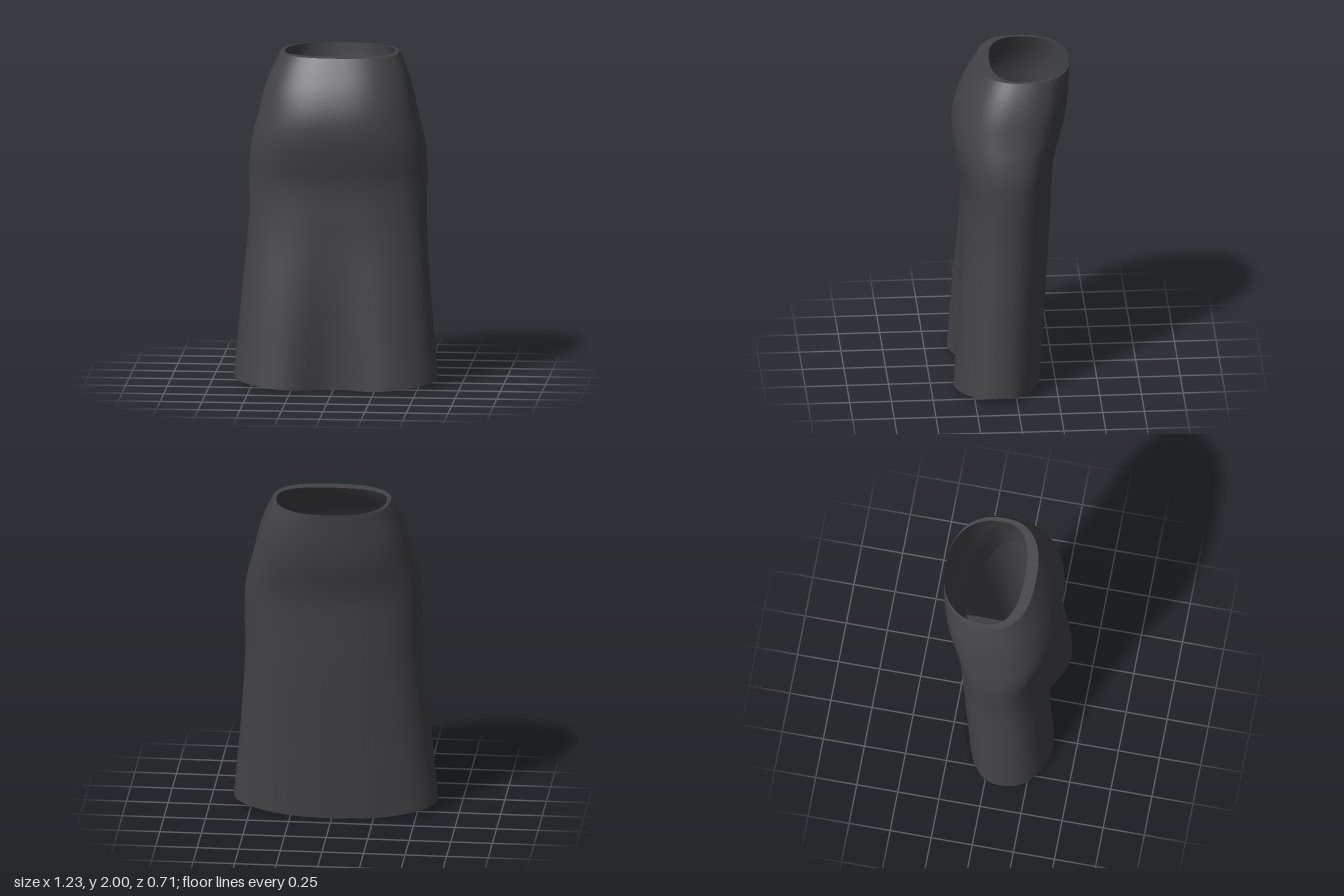
import * as THREE from 'three';

// Skirt profile by height: [y, half width, centre x, front z, back z, side-seam z, front pleat depth]
const PROFILE = [
  [0.00, 0.613, 0.000, 0.392, -0.170, 0.090, 0.130],
  [0.50, 0.572, 0.000, 0.350, -0.200, 0.080, 0.060],
  [1.00, 0.534, 0.006, 0.305, -0.230, 0.045, 0.010],
  [1.25, 0.534, 0.007, 0.302, -0.240, 0.025, 0],
  [1.40, 0.530, 0.007, 0.332, -0.250, 0.010, 0],
  [1.52, 0.510, 0.006, 0.350, -0.277, 0.000, 0],
  [1.65, 0.476, 0.006, 0.346, -0.315, -0.015, 0],
  [1.80, 0.440, 0.007, 0.303, -0.338, -0.035, 0],
  [1.90, 0.403, 0.010, 0.255, -0.345, -0.048, 0],
  [2.00, 0.356, 0.010, 0.200, -0.350, -0.060, 0],
];
const HEM_LIFT = 0.045;
const CROTCH_Y = 1.2;
const SEGMENTS = 72;

const profile = new THREE.CubicInterpolant(
  PROFILE.map((row) => row[0]), PROFILE.flatMap((row) => row.slice(1)), 6);

const superPower = (value, n) => Math.sign(value) * Math.abs(value) ** (2 / n);

// Point of the body outline at height y and angle a (0 = left side, PI/2 = front)
function outline(y, a, scale = 1, waist = 0) {
  let [half, cx, front, back, seam, pleat] = profile.evaluate(y);
  front -= 0.07 * waist;
  half -= 0.025 * waist;
  const c = Math.cos(a), s = Math.sin(a);
  const n = s > 0 ? 2.5 : 2.3;
  const x = half * superPower(c, n);
  let z = seam + (s > 0 ? front - seam : seam - back) * superPower(s, n);
  if (s > 0) z -= pleat * Math.exp(-((x / 0.18) ** 2));
  return new THREE.Vector3(cx + x * scale, y, seam + (z - seam) * scale);
}

// Skin a closed tube through rings; point(v, u) with v and u in 0..1
function loft(rows, point) {
  const positions = [], indices = [];
  for (let j = 0; j <= rows; j++) {
    for (let i = 0; i < SEGMENTS; i++) positions.push(...point(j / rows, i / SEGMENTS).toArray());
  }
  for (let j = 0; j < rows; j++) {
    for (let i = 0; i < SEGMENTS; i++) {
      const a = j * SEGMENTS + i, b = j * SEGMENTS + (i + 1) % SEGMENTS;
      indices.push(a, a + SEGMENTS, b, b, a + SEGMENTS, b + SEGMENTS);
    }
  }
  const geometry = new THREE.BufferGeometry();
  geometry.setAttribute('position', new THREE.Float32BufferAttribute(positions, 3));
  geometry.setIndex(indices);
  geometry.computeVertexNormals();
  return geometry;
}

// The lining narrows to the waist rim at the top
const waistAmount = (y) => THREE.MathUtils.smoothstep(y, 1.7, 2);
const liningScale = (y) => THREE.MathUtils.lerp(0.965, 1, waistAmount(y));

function liningPoint(y, a) {
  return outline(y, a, liningScale(y), waistAmount(y));
}

// Leg ring: a half body outline at the crotch, easing to an oval at the cuff
function legPoint(side, v, u) {
  const y = CROTCH_Y * v;
  const a = Math.PI / 2 - side * u * Math.PI * 2;
  const cuff = new THREE.Vector3(side * 0.277 + 0.135 * Math.cos(a), y, 0.14 + 0.168 * Math.sin(a));
  const upper = new THREE.Vector3();
  if (u <= 0.5) {
    upper.copy(liningPoint(CROTCH_Y, Math.PI / 2 - side * u * Math.PI * 2));
  } else {
    const back = liningPoint(CROTCH_Y, -Math.PI / 2);
    const front = liningPoint(CROTCH_Y, Math.PI / 2);
    upper.lerpVectors(back, front, (u - 0.5) * 2);
  }
  upper.y = y;
  return cuff.lerp(upper, v ** 1.4);
}

export function createModel() {
  const model = new THREE.Group();
  model.name = 'skirt';
  const fabric = new THREE.MeshStandardMaterial({ color: 0x434347, side: THREE.DoubleSide });
  fabric.name = 'charcoal fabric';

  const add = (name, geometry) => {
    const mesh = new THREE.Mesh(geometry, fabric);
    mesh.name = name;
    model.add(mesh);
  };

  // Outer shell with a hem that lifts at the sides
  add('skirtShell', loft(48, (v, u) => {
    const a = u * Math.PI * 2;
    const p = outline(2 * v, a);
    p.y += HEM_LIFT * Math.cos(a) ** 2 * Math.max(0, 1 - 4 * v);
    return p;
  }));

  // Flat folded rim joining the shell to the lining
  add('waistRim', loft(1, (v, u) => outline(2, u * Math.PI * 2, 1, v)));

  // Inner seat, from crotch to waist
  add('innerSeat', loft(24, (v, u) =>
    liningPoint(CROTCH_Y + (2 - CROTCH_Y) * v, u * Math.PI * 2)));

  // Inner trouser legs
  add('leftInnerLeg', loft(24, (v, u) => legPoint(1, v, u)));
  add('rightInnerLeg', loft(24, (v, u) => legPoint(-1, v, u)));

  return model;
}
